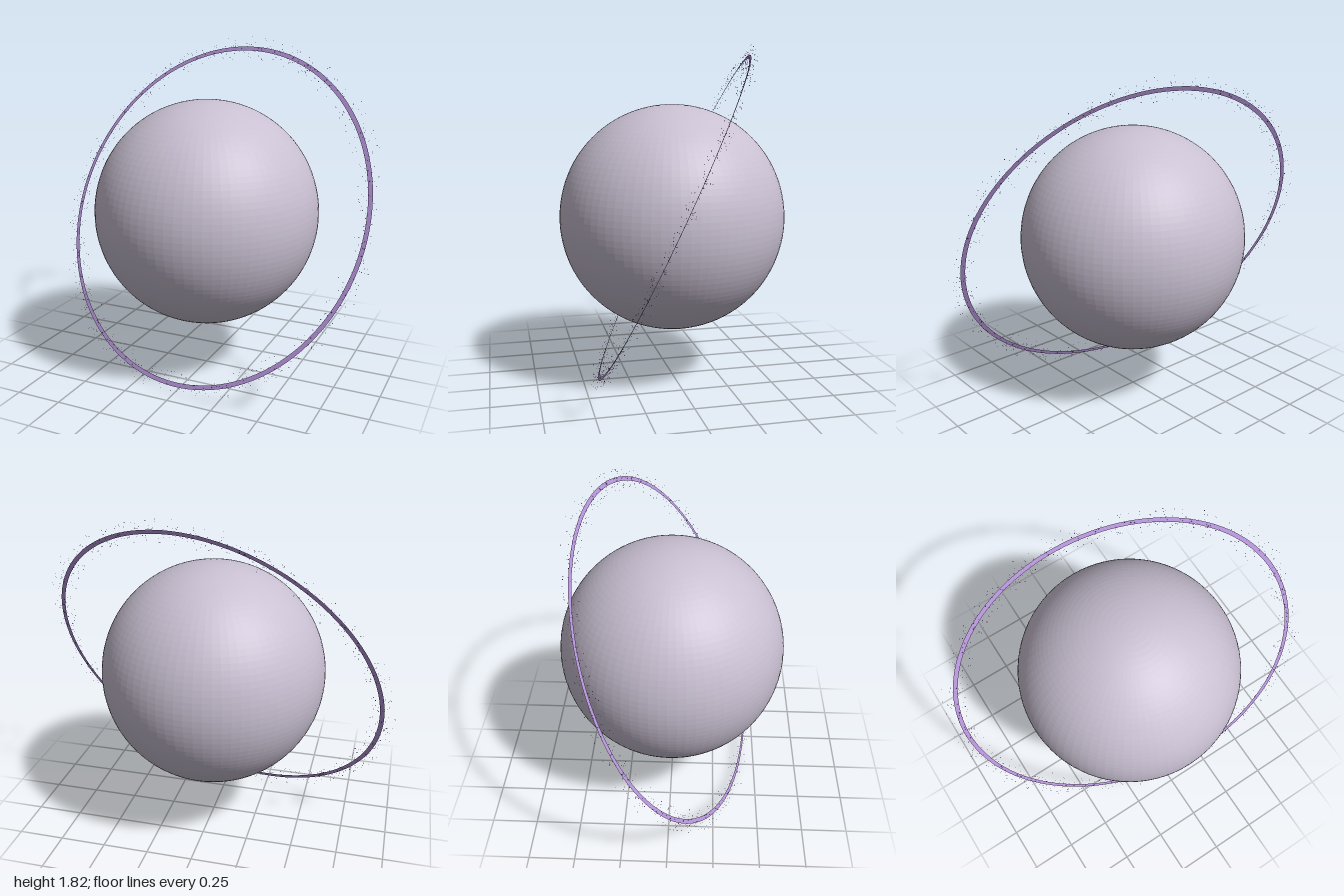
import * as THREE from 'three';
import { mergeGeometries } from 'three/addons/utils/BufferGeometryUtils.js';

const CENTRE_Y = 0.935;

function seeded(seed) {
  return () => {
    seed = (seed * 1664525 + 1013904223) % 4294967296;
    return seed / 4294967296;
  };
}

// Tiny grains scattered in a soft band around the ring (ring plane is XY)
function dustGeometry(count, random) {
  const grains = [];
  for (let i = 0; i < count; i++) {
    const angle = random() * Math.PI * 2;
    const radius = 0.942 + (random() + random() - 1) * 0.075;
    const height = (random() + random() - 1) * 0.04;
    const grain = new THREE.TetrahedronGeometry(0.002 + random() * 0.0015);
    grain.rotateX(random() * 6).rotateY(random() * 6);
    grain.translate(Math.cos(angle) * radius, Math.sin(angle) * radius, height);
    grains.push(grain);
  }
  return mergeGeometries(grains);
}

export function createModel() {
  const planetGrey = new THREE.MeshStandardMaterial({ color: 0xc9c0d2, flatShading: true });
  planetGrey.name = 'pale lilac grey';
  const ringPurple = new THREE.MeshStandardMaterial({ color: 0xb896dc, side: THREE.DoubleSide });
  ringPurple.name = 'light purple';
  const dustPurple = new THREE.MeshStandardMaterial({ color: 0x7a4fa8, flatShading: true });
  dustPurple.name = 'deep purple';

  const model = new THREE.Group();
  model.name = 'ringedPlanet';

  // Planet body
  const planet = new THREE.Mesh(new THREE.SphereGeometry(0.607, 80, 60), planetGrey);
  planet.name = 'planet';
  planet.position.y = CENTRE_Y;
  model.add(planet);

  // Tilted ring system
  const rings = new THREE.Group();
  rings.name = 'ringSystem';
  rings.position.y = CENTRE_Y;
  const normal = new THREE.Vector3(-0.204, 0.426, 0.881).normalize();
  rings.quaternion.setFromUnitVectors(new THREE.Vector3(0, 0, 1), normal);
  model.add(rings);

  const ring = new THREE.Mesh(new THREE.RingGeometry(0.93, 0.954, 128), ringPurple);
  ring.name = 'flatRing';
  rings.add(ring);

  const dust = new THREE.Mesh(dustGeometry(1000, seeded(7)), dustPurple);
  dust.name = 'ringDust';
  rings.add(dust);

  return model;
}
